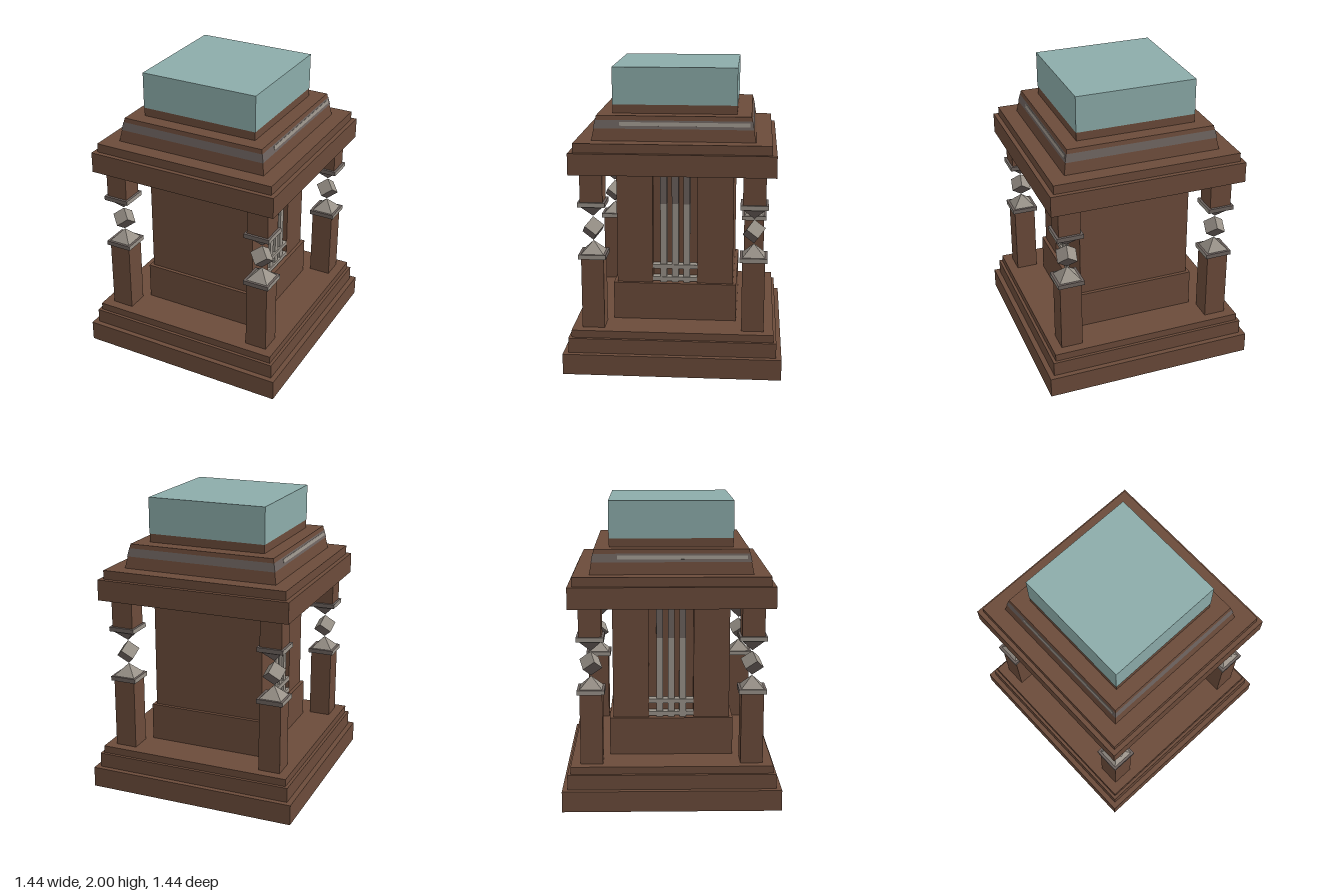
import * as THREE from 'three';

const mat = (name, color, side = THREE.FrontSide) => {
  const m = new THREE.MeshStandardMaterial({ color, side });
  m.name = name;
  return m;
};

export function createModel() {
  const brown = mat('brown wood', 0x6b4b3a);
  const teal = mat('pale teal', 0x8cacaa);
  const light = mat('light stone', 0x9a938a);
  const dark = mat('dark stone', 0x6c625e, THREE.DoubleSide);

  const root = new THREE.Group();
  root.name = 'pedestal';

  const add = (parent, name, geo, material, x = 0, y = 0, z = 0) => {
    const m = new THREE.Mesh(geo, material);
    m.name = name;
    m.position.set(x, y, z);
    parent.add(m);
    return m;
  };

  // Square block from y0 to y1, given half its width
  const block = (parent, name, half, y0, y1, material) =>
    add(parent, name, new THREE.BoxGeometry(2 * half, y1 - y0, 2 * half), material, 0, (y0 + y1) / 2, 0);

  // Square tapered block with flat faces
  const taper = (parent, name, half0, half1, y0, y1, material, open = false) => {
    const g = new THREE.CylinderGeometry(half1 * Math.SQRT2, half0 * Math.SQRT2, y1 - y0, 4, 1, open)
      .rotateY(Math.PI / 4).toNonIndexed();
    g.computeVertexNormals();
    return add(parent, name, g, material, 0, (y0 + y1) / 2, 0);
  };

  // Stepped base and plinth
  block(root, 'baseLower', 0.72, 0, 0.14, brown);
  block(root, 'baseMiddle', 0.685, 0.14, 0.24, brown);
  block(root, 'baseUpper', 0.665, 0.24, 0.29, brown);
  block(root, 'plinth', 0.413, 0.29, 0.545, brown);

  // Core with a full-height niche in the left and right walls
  const H = 0.39, N = 0.15, D = 0.33;
  const plan = new THREE.Shape([
    [-H, -H], [H, -H], [H, -N], [D, -N], [D, N], [H, N],
    [H, H], [-H, H], [-H, N], [-D, N], [-D, -N], [-H, -N],
  ].map(([x, y]) => new THREE.Vector2(x, y)));
  const core = new THREE.ExtrudeGeometry(plan, { depth: 0.795, bevelEnabled: false }).rotateX(-Math.PI / 2);
  add(root, 'core', core, brown, 0, 0.545, 0);

  // Bars and rails in each niche, and the inlay above it
  for (const turn of [0, Math.PI]) {
    const side = new THREE.Group();
    side.name = turn ? 'rightGrille' : 'leftGrille';
    side.rotation.y = turn;
    root.add(side);
    for (const z of [-0.077, 0, 0.077]) {
      add(side, 'barLower', new THREE.BoxGeometry(0.04, 0.545, 0.044), light, 0.362, 0.8175, z);
      add(side, 'barUpper', new THREE.BoxGeometry(0.04, 0.25, 0.044), dark, 0.362, 1.215, z);
    }
    for (const y of [0.57, 0.657]) {
      add(side, 'rail', new THREE.BoxGeometry(0.055, 0.028, 0.3), light, 0.363, y, 0);
    }
    const inlay = add(side, 'roofInlay', new THREE.BoxGeometry(0.006, 0.024, 0.84), light, 0.511, 1.648, -0.07);
    inlay.rotation.z = Math.atan(0.03 / 0.16);
  }

  // Corner posts, each broken by a cube balanced between two points
  const capMats = [light, light, dark, dark, dark, dark];
  const cubeMats = [light, dark, light, dark, light, dark];
  const upright = new THREE.Quaternion().setFromUnitVectors(
    new THREE.Vector3(1, 1, 1).normalize(), new THREE.Vector3(0, 1, 0));
  const yaw = new THREE.Quaternion().setFromAxisAngle(new THREE.Vector3(0, 1, 0), 0.09);
  for (const x of [-0.527, 0.527]) {
    for (const z of [-0.527, 0.527]) {
      const post = new THREE.Group();
      post.name = (z > 0 ? 'front' : 'back') + (x > 0 ? 'Left' : 'Right') + 'Post';
      post.position.set(x, 0, z);
      root.add(post);
      block(post, 'postLower', 0.074, 0.29, 0.765, brown);
      block(post, 'capLower', 0.09, 0.765, 0.795, capMats);
      taper(post, 'pointLower', 0.074, 0.001, 0.795, 0.872, light);
      const cube = add(post, 'cube', new THREE.BoxGeometry(0.093, 0.093, 0.093), cubeMats, 0, 0.955, 0);
      cube.quaternion.multiplyQuaternions(yaw, upright);
      taper(post, 'pointUpper', 0.001, 0.074, 1.04, 1.117, dark);
      block(post, 'capUpper', 0.09, 1.117, 1.147, capMats);
      block(post, 'postUpper', 0.074, 1.147, 1.34, brown);
    }
  }

  // Stepped top with a tapered, banded crown
  block(root, 'topSlab', 0.665, 1.34, 1.48, brown);
  block(root, 'topStep', 0.635, 1.48, 1.54, brown);
  taper(root, 'crown', 0.53, 0.5, 1.54, 1.7, brown);
  taper(root, 'crownBand', 0.518, 0.507, 1.618, 1.672, dark, true);
  block(root, 'crownStep', 0.405, 1.7, 1.757, brown);
  block(root, 'topBlock', 0.407, 1.757, 2, teal);

  return root;
}
